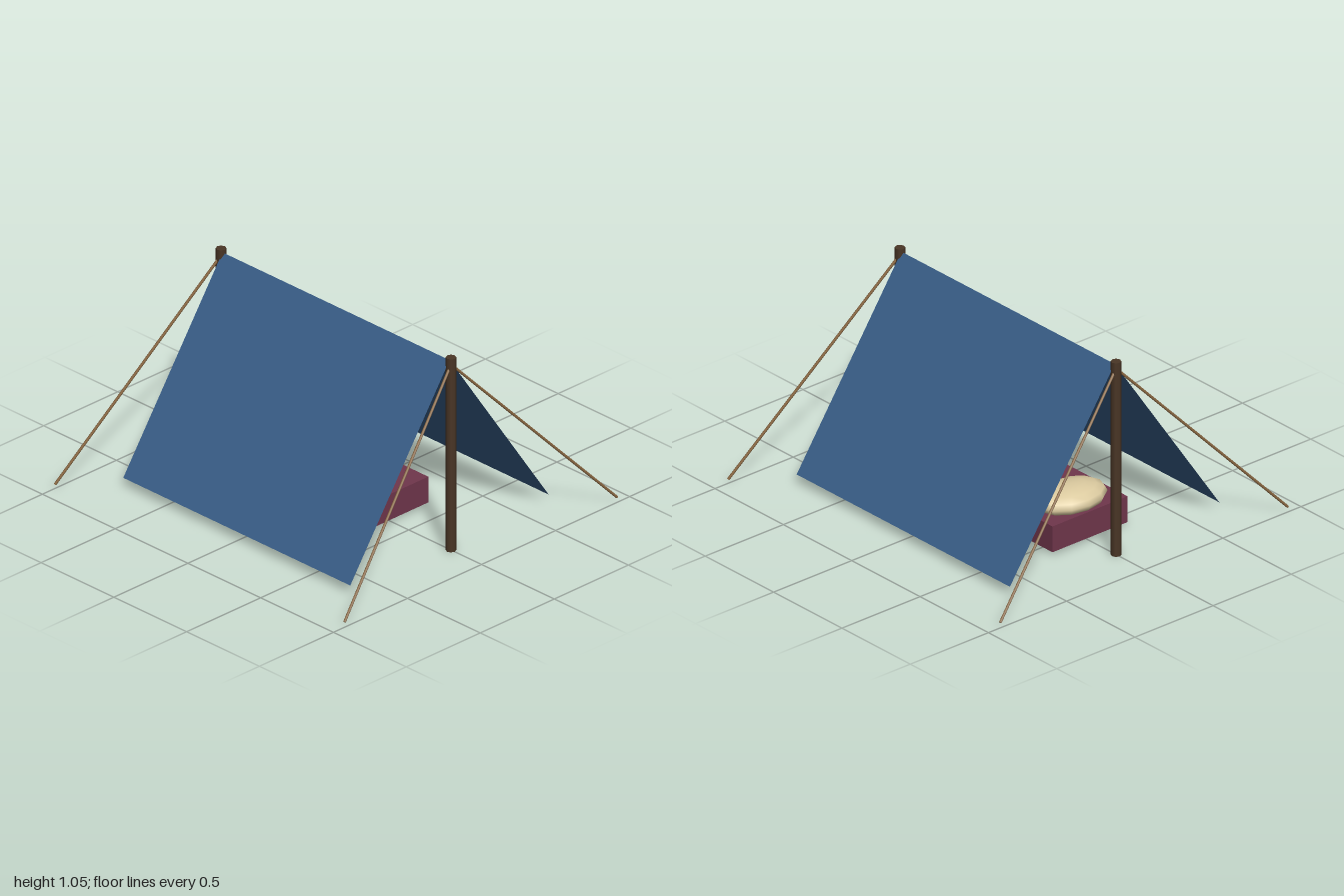
import * as THREE from 'three';

function material(name, color, side = THREE.FrontSide) {
  const m = new THREE.MeshStandardMaterial({ color, side });
  m.name = name;
  return m;
}

export function createModel() {
  const wood = material('darkWood', 0x4a3626);
  const rope = material('ropeTan', 0x8a6842);
  const canvas = material('blueCanvas', 0x3a5f8a, THREE.DoubleSide);
  const blanket = material('wineBlanket', 0x70364c);
  const linen = material('creamLinen', 0xdccba0);

  const group = new THREE.Group();
  group.name = 'ridgeTent';
  const add = (name, geometry, mat, x = 0, y = 0, z = 0) => {
    const mesh = new THREE.Mesh(geometry, mat);
    mesh.name = name;
    mesh.position.set(x, y, z);
    group.add(mesh);
    return mesh;
  };

  // Thin round bar between two points
  const bar = (name, a, b, radius, mat) => {
    const dir = b.clone().sub(a);
    const mid = a.clone().add(b).multiplyScalar(0.5);
    const mesh = add(name, new THREE.CylinderGeometry(radius, radius, dir.length(), 6), mat, mid.x, mid.y, mid.z);
    mesh.quaternion.setFromUnitVectors(new THREE.Vector3(0, 1, 0), dir.normalize());
  };

  // Poles at each end, each with two guy ropes
  for (const end of [1, -1]) {
    const endName = end > 0 ? 'front' : 'back';
    add(endName + 'Pole', new THREE.CylinderGeometry(0.026, 0.026, 1.05, 8), wood, 0, 0.525, end * 0.79);
    for (const side of [1, -1]) {
      bar(endName + (side > 0 ? 'Left' : 'Right') + 'Rope',
        new THREE.Vector3(0, 1.01, end * 0.79),
        new THREE.Vector3(side * 0.92, 0.025, end * 0.995), 0.007, rope);
    }
  }

  // Sloping canvas sheets, open at both ends, sharing the ridge line
  const run = 0.67, ridge = 1.03, hem = 0.05;
  const drop = ridge - hem;
  for (const side of [1, -1]) {
    const sheet = new THREE.PlaneGeometry(1.56, Math.hypot(run, drop));
    sheet.rotateY(side * Math.PI / 2);
    sheet.rotateZ(side * Math.atan2(run, drop));
    add(side > 0 ? 'leftCanvas' : 'rightCanvas', sheet, canvas, side * run / 2, (ridge + hem) / 2, 0);
  }

  // Bedroll with a soft pillow at the back end
  add('bedroll', new THREE.BoxGeometry(0.48, 0.14, 0.99), blanket, 0, 0.09, -0.105);
  const pillow = new THREE.SphereGeometry(0.2, 12, 8).scale(1, 0.35, 0.7);
  add('pillow', pillow, linen, 0, 0.19, -0.46);

  return group;
}
